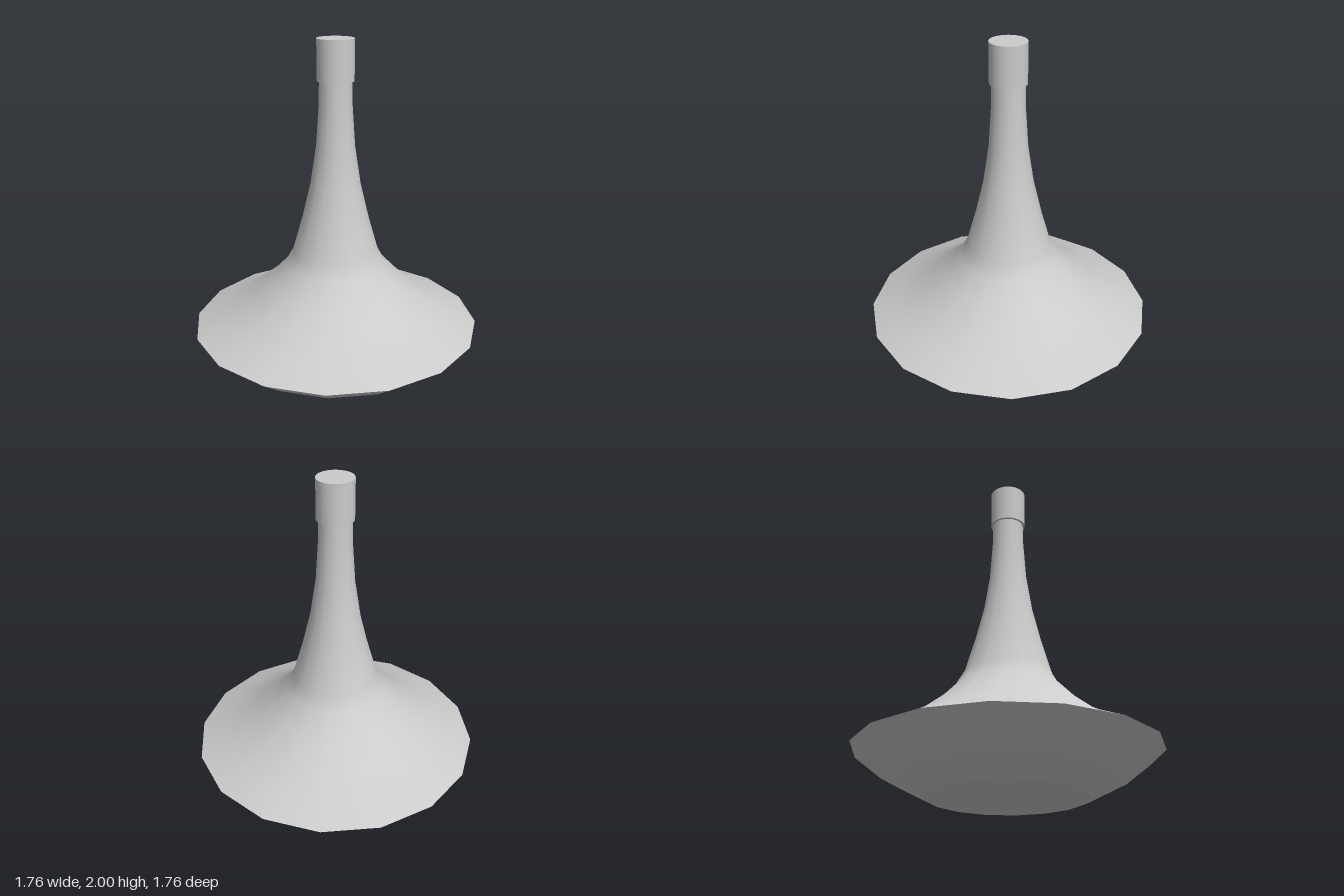
import * as THREE from 'three';

const SIDES = 16;
const material = new THREE.MeshStandardMaterial({ color: 0xcccccc });

// Turned part from [radius, height] pairs running bottom to top
function turned(name, profile, sides = SIDES) {
  const points = profile.map(([r, y]) => new THREE.Vector2(r, y));
  const mesh = new THREE.Mesh(new THREE.LatheGeometry(points, sides), material);
  mesh.name = name;
  return mesh;
}

export function createModel() {
  const group = new THREE.Group();
  group.name = 'flask';

  // Flat foot and flared underside, separate so their edges stay sharp
  group.add(turned('foot', [[0, 0], [0.46, 0]]));
  group.add(turned('underside', [[0.46, 0], [0.72, 0.13], [0.88, 0.253]]));

  // Concave body sweeping up from the rim into the slender neck
  group.add(turned('bodyAndNeck', [
    [0.88, 0.253], [0.715, 0.325], [0.565, 0.41], [0.415, 0.53],
    [0.31, 0.64], [0.26, 0.73], [0.2, 0.94], [0.15, 1.15],
    [0.115, 1.38], [0.098, 1.63], [0.096, 1.77],
  ]));

  // Closed collar at the mouth
  const collar = new THREE.Mesh(new THREE.CylinderGeometry(0.109, 0.109, 0.24, 24), material);
  collar.name = 'collar';
  collar.position.y = 1.88;
  group.add(collar);

  return group;
}
